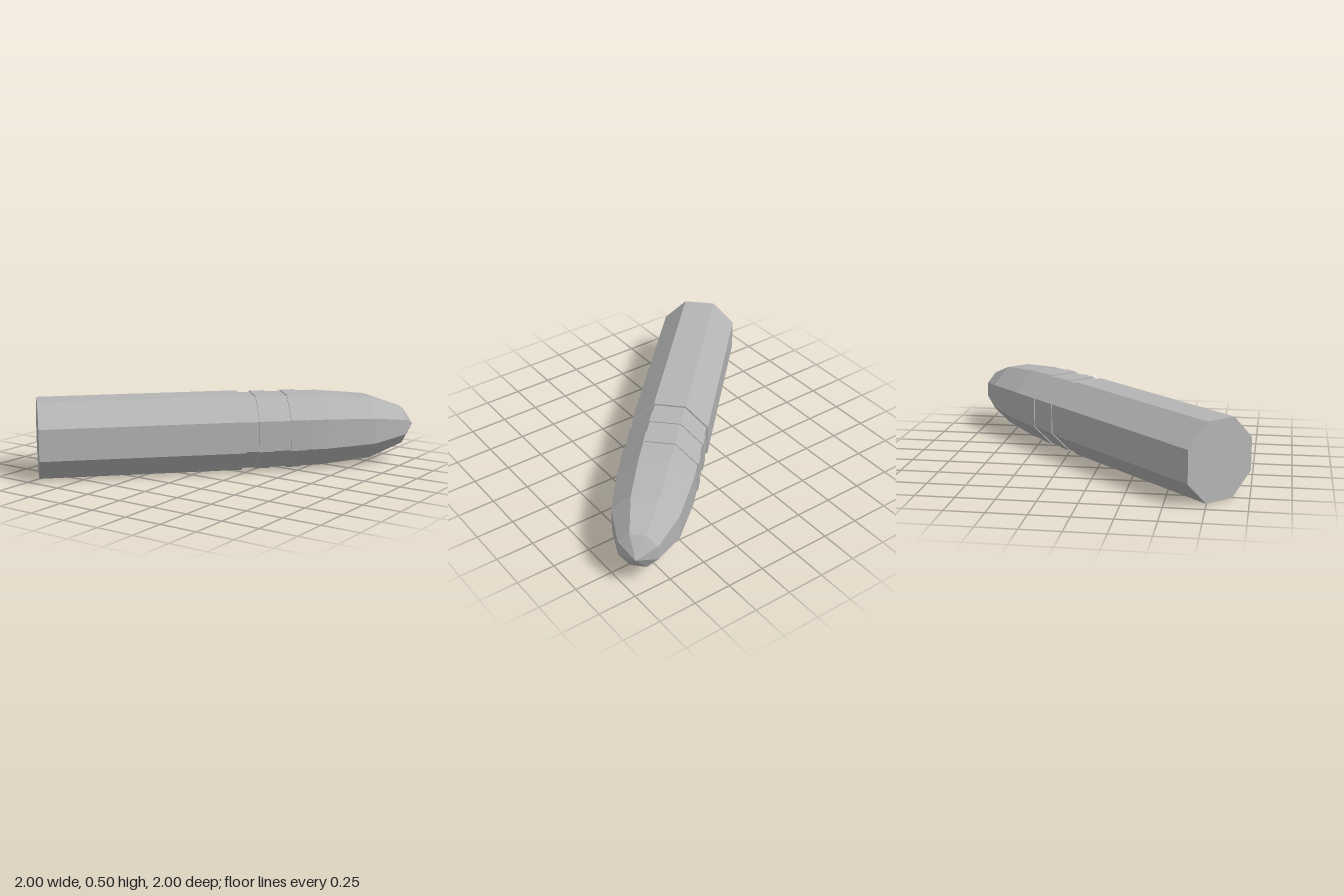
import * as THREE from 'three';

const SIDES = 8;
const CENTRE_Y = 0.25;

// Eight-sided turned part; profile rows are [distance along the axis, half width across flats]
function turned(name, profile, material) {
  const toCorner = 1 / Math.cos(Math.PI / SIDES);
  const points = profile.map(([s, a]) => new THREE.Vector2(a * toCorner, s));
  const geometry = new THREE.LatheGeometry(points, SIDES, Math.PI / SIDES, Math.PI * 2);
  geometry.rotateZ(-Math.PI / 2); // lay the axis along +x
  const mesh = new THREE.Mesh(geometry, material);
  mesh.name = name;
  return mesh;
}

export function createModel() {
  const grey = new THREE.MeshStandardMaterial({ color: 0xb4b4b4, flatShading: true });
  grey.name = 'plain grey';

  const model = new THREE.Group();
  model.name = 'cartridge';

  // Straight casing, closed at both ends
  model.add(turned('casing', [[-1.163, 0], [-1.163, 0.25], [0.169, 0.25], [0.169, 0]], grey));

  // Neck with two raised bands, then the tapering nose
  const neck = 0.238, band = 0.245;
  const profile = [[0.169, neck]];
  for (const start of [0.259, 0.471]) {
    const end = start + 0.097;
    profile.push([start, neck], [start, band], [end, band], [end, neck + 0.001]);
  }
  profile.push([0.72, 0.237], [1.054, 0.206], [1.294, 0.12], [1.383, 0]);
  model.add(turned('bullet', profile, grey));

  // Lie diagonally, nose towards the back left
  model.rotation.y = Math.PI / 4;
  model.position.y = CENTRE_Y;

  const root = new THREE.Group();
  root.name = 'model';
  root.add(model);
  return root;
}
